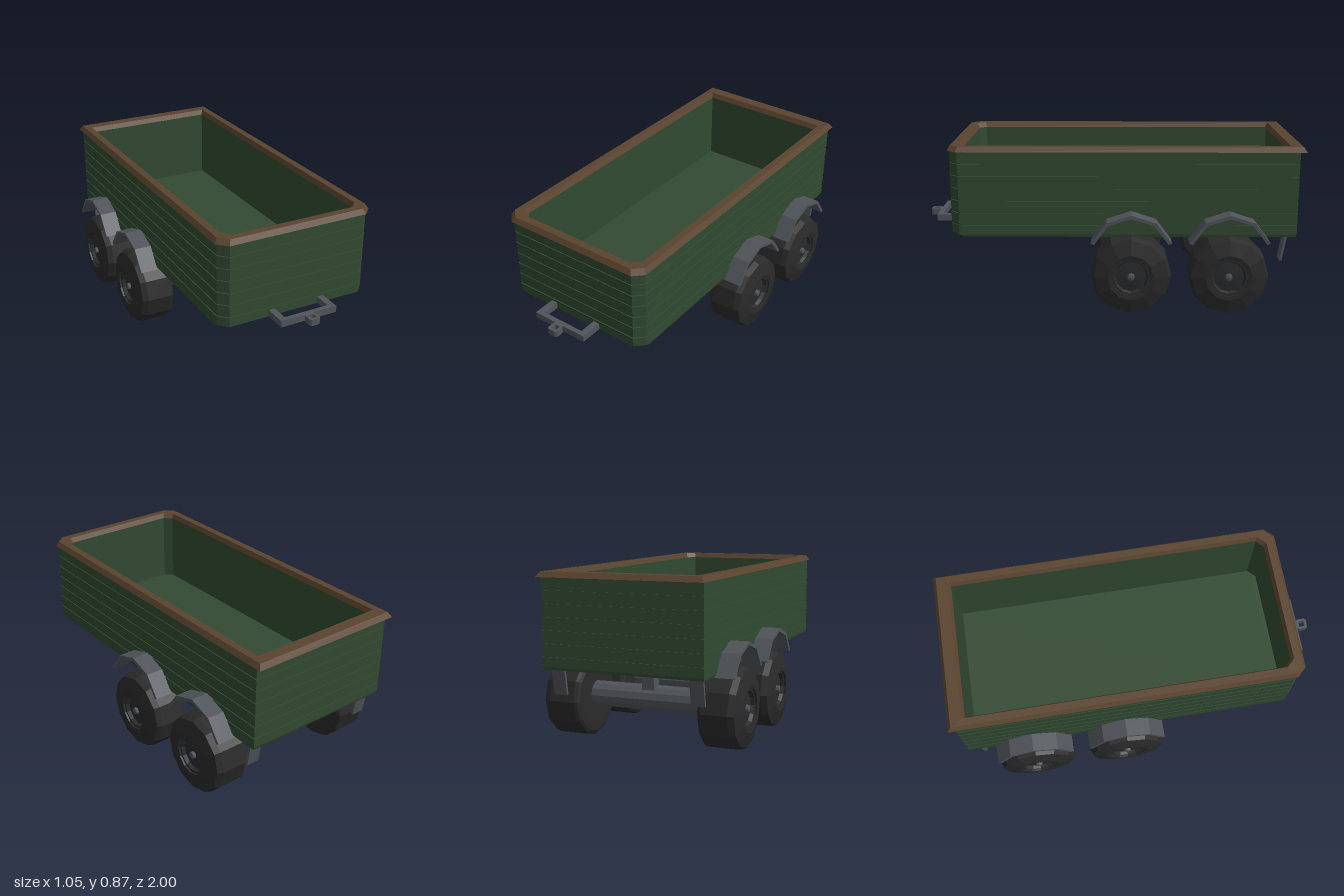
import * as THREE from 'three';

const mat = (name, color) => {
  const m = new THREE.MeshStandardMaterial({ color });
  m.name = name;
  return m;
};

// Faceted normals
const flat = (g) => {
  const f = g.index ? g.toNonIndexed() : g;
  f.computeVertexNormals();
  return f;
};

// Plan outline of the bed: chamfered front corners, square back corners
const outline = (x, front, back, c, y) => [
  [-x + c, y, front], [x - c, y, front], [x, y, front - c],
  [x, y, back], [-x, y, back], [-x, y, front - c],
];

// Skin a stack of outlines, either closed into a ring or capped at both ends
function loft(rings, closed) {
  const pos = [];
  const tri = (a, b, c) => pos.push(...a, ...b, ...c);
  const n = rings[0].length;
  const last = closed ? rings.length : rings.length - 1;
  for (let r = 0; r < last; r++) {
    const p = rings[r], q = rings[(r + 1) % rings.length];
    for (let i = 0; i < n; i++) {
      const j = (i + 1) % n;
      tri(p[i], p[j], q[j]);
      tri(p[i], q[j], q[i]);
    }
  }
  if (!closed) {
    const a = rings[0], b = rings[rings.length - 1];
    for (let i = 1; i < n - 1; i++) {
      tri(a[0], a[i + 1], a[i]);
      tri(b[0], b[i], b[i + 1]);
    }
  }
  const g = new THREE.BufferGeometry();
  g.setAttribute('position', new THREE.Float32BufferAttribute(pos, 3));
  return flat(g);
}

export function createModel() {
  const green = mat('green painted planks', 0x324a32);
  const wood = mat('brown wood', 0x5a442f);
  const metal = mat('grey metal', 0x50545a);
  const rubber = mat('black rubber', 0x2a2a2a);
  const hubPaint = mat('dark hub', 0x2a2b2d);

  const model = new THREE.Group();
  model.name = 'trailer';
  const add = (name, geo, material, x = 0, y = 0, z = 0, parent = model) => {
    const m = new THREE.Mesh(geo, material);
    m.name = name;
    m.position.set(x, y, z);
    parent.add(m);
    return m;
  };
  const box = (name, w, h, d, x, y, z) =>
    add(name, new THREE.BoxGeometry(w, h, d), metal, x, y, z);

  // Open bed: seven planks with square-cut grooves, then the inner walls and floor
  const outer = (y, inset) => outline(0.416 - inset, 0.824 - inset, -0.967 + inset, 0.046, y);
  const rings = [outline(0.413, 0.8, -0.962, 0.046, 0.397), outer(0.41, 0)];
  const top = 0.848, pitch = 0.0642, half = 0.004;
  for (let i = 6; i > 0; i--) {
    const y = top - i * pitch;
    rings.push(outer(y - half, 0), outer(y - half, 0.005), outer(y + half, 0.005), outer(y + half, 0));
  }
  rings.push(outer(top, 0));
  for (const y of [top, 0.46]) rings.push(outline(0.366, 0.772, -0.915, 0.04, y));
  add('bed', loft(rings, false), green);

  // Bevelled rim
  add('rim', loft([
    outline(0.427, 0.835, -1.0, 0.05, 0.844),
    outline(0.411, 0.819, -0.982, 0.046, 0.87),
    outline(0.373, 0.78, -0.922, 0.042, 0.87),
    outline(0.362, 0.766, -0.909, 0.038, 0.844),
  ], true), wood);

  // Wheel profiles, radius against distance from the centre line
  const lathe = (pts, sides) => flat(new THREE.LatheGeometry(
    pts.map(([r, x]) => new THREE.Vector2(r, x)), sides).rotateZ(-Math.PI / 2));
  const tyreGeo = lathe([[0, 0.312], [0.15, 0.312], [0.185, 0.314], [0.2, 0.322], [0.207, 0.338],
    [0.207, 0.472], [0.195, 0.503], [0.12, 0.523], [0.1, 0.52], [0.1, 0.5]], 12);
  const hubGeo = lathe([[0.1, 0.51], [0.088, 0.51], [0.08, 0.492], [0.03, 0.497], [0, 0.497]], 12);
  const capGeo = lathe([[0.02, 0.495], [0.017, 0.512], [0, 0.516]], 8);

  // Mudguard arch: a band of four straight runs in the side plane, extruded across
  const arc = (r, dir) => [-2, -1, 0, 1, 2].map((i) => {
    const a = i * dir * 0.619;
    return new THREE.Vector2(r * Math.sin(a), 0.317 + r * Math.cos(a));
  });
  const guardShape = new THREE.Shape([...arc(0.219, 1), ...arc(0.201, -1)]);
  const guardGeo = new THREE.ExtrudeGeometry(guardShape, { depth: 0.098, bevelEnabled: false })
    .rotateY(Math.PI / 2).translate(0.411, 0, 0);

  const axleGeo = flat(new THREE.CylinderGeometry(0.066, 0.066, 0.63, 12).rotateZ(Math.PI / 2));
  for (const z of [-0.11, -0.613]) {
    add('axle', axleGeo, metal, 0, 0.222, z);
    box('axlePost', 0.064, 0.14, 0.06, 0, 0.34, z - 0.025);
    for (const turn of [0, Math.PI]) {
      const wheel = new THREE.Group();
      wheel.name = turn ? 'rightWheel' : 'leftWheel';
      wheel.position.set(0, 0, z);
      wheel.rotation.y = turn;
      model.add(wheel);
      add('tyre', tyreGeo, rubber, 0, 0.208, 0, wheel);
      add('hub', hubGeo, hubPaint, 0, 0.208, 0, wheel);
      add('hubCap', capGeo, metal, 0, 0.208, 0, wheel);
      add('mudguard', guardGeo, metal, 0, 0, 0, wheel);
    }
  }

  // Slanted rear flaps
  for (const s of [-1, 1]) {
    const flap = box(s > 0 ? 'leftRearFlap' : 'rightRearFlap', 0.07, 0.145, 0.014, s * 0.36, 0.336, -0.905);
    flap.rotation.x = -0.17;
  }

  // Drawbar frame and towing eye
  for (const s of [-1, 1]) box('drawbarArm', 0.034, 0.034, 0.13, s * 0.139, 0.429, 0.865);
  box('drawbarCross', 0.312, 0.034, 0.026, 0, 0.429, 0.93);
  const cornered = (Type, r, c) => new Type([[-r + c, -r], [r - c, -r], [r, -r + c], [r, r - c],
    [r - c, r], [-r + c, r], [-r, r - c], [-r, -r + c]].map(([x, y]) => new THREE.Vector2(x, y)));
  const eye = cornered(THREE.Shape, 0.029, 0.009);
  eye.holes.push(cornered(THREE.Path, 0.015, 0.004));
  add('towingEye', new THREE.ExtrudeGeometry(eye, { depth: 0.034, bevelEnabled: false })
    .rotateX(-Math.PI / 2), metal, 0, 0.412, 0.971);

  return model;
}
